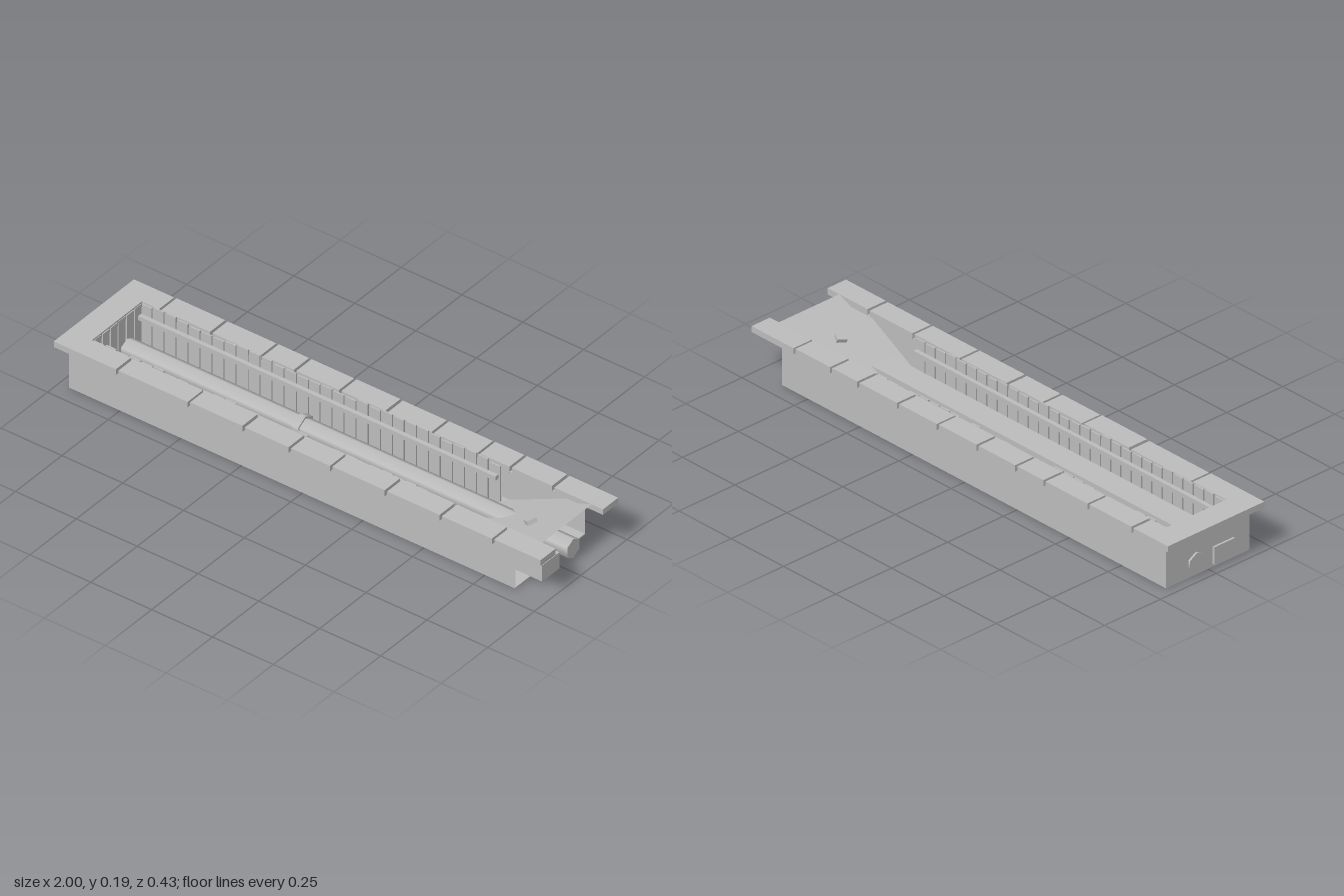
import * as THREE from 'three';

export function createModel() {
  const group = new THREE.Group();
  const grey = new THREE.MeshStandardMaterial({ color: 0xbcbcbc });
  grey.name = 'concrete grey';
  const sheetGrey = new THREE.MeshStandardMaterial({ color: 0xbcbcbc, side: THREE.DoubleSide });
  sheetGrey.name = 'sheet grey';

  let seed = 7;
  const rand = () => (seed = (seed * 16807) % 2147483647) / 2147483647;

  // box given by its minimum and maximum on each axis
  function box(name, x0, x1, y0, y1, z0, z1, parent = group) {
    const mesh = new THREE.Mesh(new THREE.BoxGeometry(x1 - x0, y1 - y0, z1 - z0), grey);
    mesh.position.set((x0 + x1) / 2, (y0 + y1) / 2, (z0 + z1) / 2);
    mesh.name = name;
    parent.add(mesh);
    return mesh;
  }

  // four-cornered sheet
  function sheet(name, a, b, c, d) {
    const geo = new THREE.BufferGeometry();
    geo.setAttribute('position', new THREE.Float32BufferAttribute([...a, ...b, ...c, ...d], 3));
    geo.setIndex([0, 1, 2, 0, 2, 3]);
    geo.computeVertexNormals();
    const mesh = new THREE.Mesh(geo, sheetGrey);
    mesh.name = name;
    group.add(mesh);
  }

  // hollow outer shell, open at the right end
  const L = -0.96, R = 0.875, W = 0.187, H = 0.166;
  box('floor', L, R, 0, 0.005, -W, W);
  for (const s of [1, -1]) {
    sheet('outerWall', [L, 0, s * W], [R, 0, s * W], [R, H, s * W], [L, H, s * W]);
  }
  sheet('endWall', [L, 0, -W], [L, 0, W], [L, H, W], [L, H, -W]);

  // earth ramp rising out of the trench
  sheet('ramp', [0.5, 0.004, 0.135], [0.945, 0.187, 0.178], [0.945, 0.187, -0.178], [0.5, 0.004, -0.135]);

  // kerb stones with narrow joints along both sides
  function kerbRow(name, s, joints, end) {
    const stops = [...joints, end];
    for (let i = 0; i < joints.length; i++) {
      const x0 = stops[i] + 0.005;
      const x1 = stops[i + 1] - (i === joints.length - 1 ? 0 : 0.005);
      const top = 0.185 + rand() * 0.003;
      const z0 = s * 0.134, z1 = s * 0.216;
      box(name, x0, x1, 0.163, top, Math.min(z0, z1), Math.max(z0, z1));
    }
  }
  const frontJoints = [-0.74, -0.445, -0.22, -0.03, 0.14, 0.365, 0.59, 0.805];
  const backJoints = [-0.83, -0.62, -0.41, -0.275, -0.09, 0.1, 0.29, 0.48, 0.61, 0.785];
  kerbRow('frontKerb', 1, frontJoints, 1);
  kerbRow('backKerb', -1, backJoints, 0.99);

  // U-shaped kerb around the closed end
  const uShape = new THREE.Shape([
    [-1, -0.216], [frontJoints[0] - 0.005, -0.216], [frontJoints[0] - 0.005, -0.134],
    [-0.905, -0.134], [-0.905, 0.134], [backJoints[0] - 0.005, 0.134],
    [backJoints[0] - 0.005, 0.216], [-1, 0.216],
  ].map(([x, y]) => new THREE.Vector2(x, y)));
  const endKerb = new THREE.Mesh(new THREE.ExtrudeGeometry(uShape, { depth: 0.023, bevelEnabled: false }), grey);
  endKerb.name = 'endKerb';
  endKerb.rotation.x = -Math.PI / 2;
  endKerb.position.y = 0.163;
  group.add(endKerb);

  // ledge under the kerb joints
  for (const s of [1, -1]) {
    sheet('kerbBed', [L, H, s * 0.135], [R, H, s * 0.135], [R, H, s * W], [L, H, s * W]);
  }

  // timber lining: backing board, uneven upright planks and one rail per side
  const x0 = -0.905, x1 = 0.575;
  for (const s of [1, -1]) {
    const lining = new THREE.Group();
    lining.name = s > 0 ? 'frontLining' : 'backLining';
    group.add(lining);
    box('backingBoard', x0, x1, 0.003, 0.166, s * 0.134 - 0.001, s * 0.134 + 0.001, lining);
    const count = 30, step = (x1 - x0) / count;
    for (let i = 0; i < count; i++) {
      const a = x0 + i * step;
      const mid = s * (0.131 - rand() * 0.002);
      box('plank', a + 0.005, a + step - 0.004, 0.003, 0.176 + rand() * 0.013, mid - 0.003, mid + 0.003, lining);
    }
    const railMid = s * 0.119;
    box('rail', x0, 0.565, 0.125, 0.142, railMid - 0.008, railMid + 0.008, lining);
  }

  // planks across the closed end
  box('endBacking', x0 - 0.004, x0 - 0.002, 0.003, 0.166, -0.134, 0.134);
  for (let i = 0; i < 6; i++) {
    const z = -0.13 + i * 0.0435;
    box('endPlank', x0 - 0.004, x0 + 0.002 + rand() * 0.002, 0.003, 0.18, z, z + 0.037);
  }

  // six-sided smooth pipe with a collar
  function pipe(name, a, b, r) {
    const geo = new THREE.CylinderGeometry(r, r, b - a, 6);
    geo.rotateZ(Math.PI / 2);
    const mesh = new THREE.Mesh(geo, grey);
    mesh.rotation.x = Math.PI / 2;
    // corners point to the sides, flats to top and bottom
    mesh.rotation.x = Math.PI / 2;
    mesh.position.set((a + b) / 2, 0.048, -0.053);
    mesh.name = name;
    group.add(mesh);
  }
  pipe('pipe', -0.968, 0.93, 0.038);
  pipe('pipeCollar', -0.195, -0.17, 0.046);

  // square duct
  box('duct', -0.968, 0.93, 0.011, 0.076, 0.022, 0.115);

  // loose brick lying on the ramp
  const brick = box('brick', 0.784, 0.812, 0.126, 0.143, -0.014, 0.022);
  brick.rotation.set(0, -0.45, 0.39, 'ZYX');

  return group;
}
